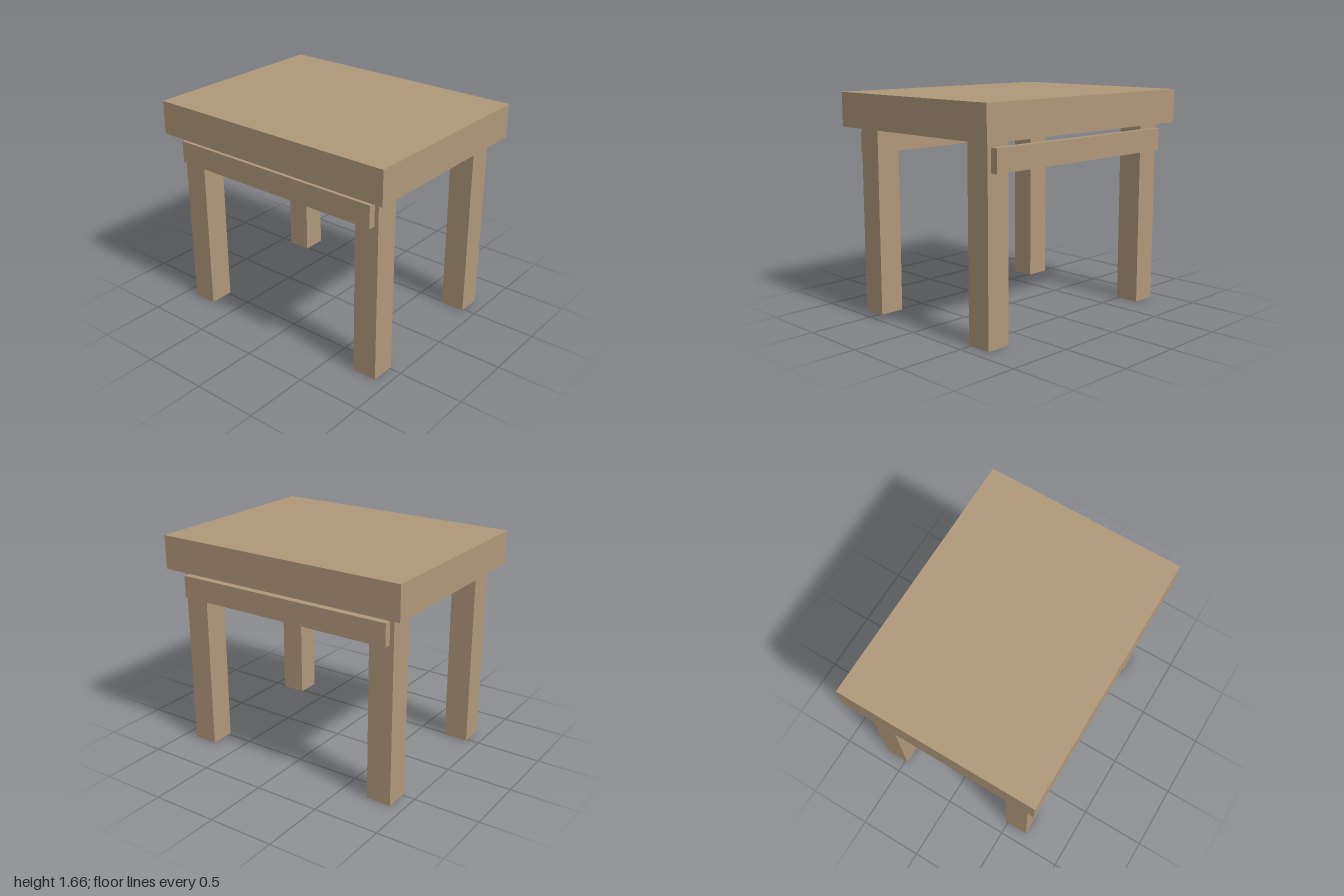
import * as THREE from 'three';

export function createModel() {
  const table = new THREE.Group();
  table.name = 'table';
  const wood = new THREE.MeshStandardMaterial({ color: 0xb0987a });

  // Box centred at (x, z) and spanning y0 to y1
  function addBox(name, width, depth, y0, y1, x, z) {
    const mesh = new THREE.Mesh(new THREE.BoxGeometry(width, y1 - y0, depth), wood);
    mesh.name = name;
    mesh.position.set(x, (y0 + y1) / 2, z);
    table.add(mesh);
  }

  // Thick slab top
  addBox('tabletop', 2, 1.535, 1.405, 1.66, 0, 0);

  for (const [end, sz] of [['front', 1], ['back', -1]]) {
    // Rail fixed to the outer faces of the legs
    addBox(end + 'Rail', 1.74, 0.053, 1.195, 1.363, 0, sz * 0.6975);

    // Square legs
    for (const [side, sx] of [['Left', 1], ['Right', -1]]) {
      addBox(end + side + 'Leg', 0.19, 0.19, 0, 1.405, sx * 0.807, sz * 0.576);
    }
  }
  return table;
}
